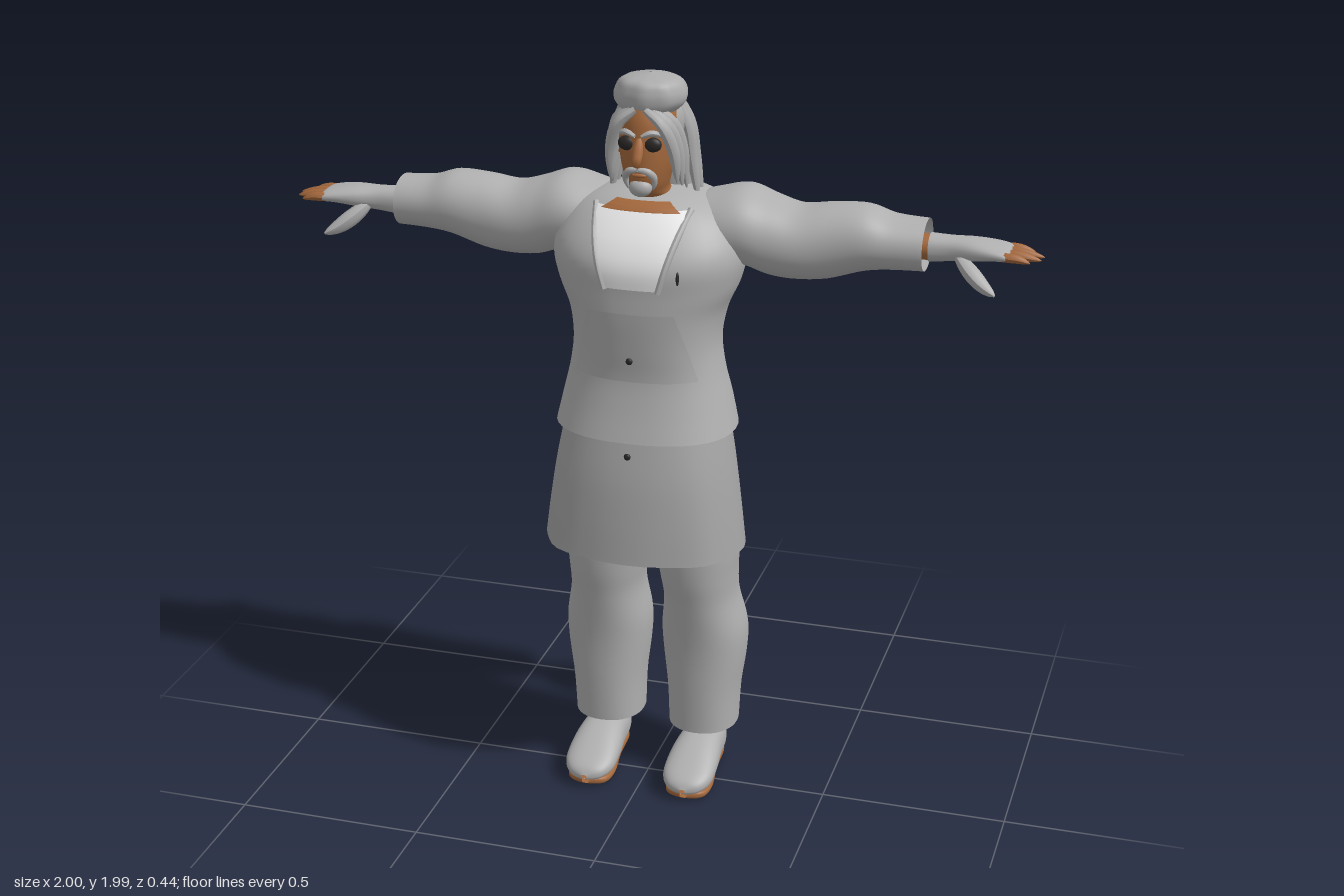
import * as THREE from 'three';

const mat = (name, color) => Object.assign(
  new THREE.MeshStandardMaterial({ color, side: THREE.DoubleSide }), { name });
const { sin, cos, abs, sign, PI, pow } = Math;

// Catmull-Rom blend of the rows of a section list, u from 0 to 1
function rowAt(rows, u) {
  const f = u * (rows.length - 1), i = Math.min(Math.floor(f), rows.length - 2), t = f - i;
  const r = k => rows[Math.max(0, Math.min(rows.length - 1, k))];
  return rows[0].map((_, c) => {
    const [a, b, d, e] = [r(i - 1)[c], r(i)[c], r(i + 1)[c], r(i + 2)[c]];
    return b + 0.5 * t * (d - a + t * (2 * a - 5 * b + 4 * d - e + t * (3 * (b - d) + e - a)));
  });
}

// Indexed grid of points; wraps around when closed
function grid(rows, cols, point, closed) {
  const pos = [], idx = [], w = closed ? cols : cols + 1;
  for (let i = 0; i <= rows; i++)
    for (let j = 0; j < w; j++) pos.push(...point(i / rows, j / cols));
  for (let i = 0; i < rows; i++)
    for (let j = 0; j < cols; j++) {
      const a = i * w + j, b = i * w + (j + 1) % w, c = b + w, d = a + w;
      idx.push(a, b, c, a, c, d);
    }
  const g = new THREE.BufferGeometry();
  g.setAttribute('position', new THREE.Float32BufferAttribute(pos, 3));
  g.setIndex(idx);
  g.computeVertexNormals();
  return g;
}

// Smooth body through rounded sections [position, centre, centre, radius, radius] along an axis
function loft(axis, rows, n = 2, wave = () => 1) {
  const se = v => sign(v) * pow(abs(v), 2 / n);
  return grid((rows.length - 1) * 5, 40, (u, v) => {
    const [t, a, b, ra, rb] = rowAt(rows, u), th = v * 2 * PI, k = wave(th, u);
    const s = se(sin(th)) * k, c = se(cos(th)) * k;
    if (axis === 'y') return [a + ra * s, t, b + rb * c];
    if (axis === 'x') return [t, a + ra * c, b + rb * s];
    return [a + ra * c, b + rb * s, t];
  }, true);
}

// Tube along points whose thickness follows a rule
function taper(points, radius, rule = u => pow(sin(PI * (0.12 + 0.87 * u)), 0.6)) {
  const curve = new THREE.CatmullRomCurve3(points.map(p => new THREE.Vector3(...p)));
  const g = new THREE.TubeGeometry(curve, 14, radius, 8), p = g.attributes.position;
  const v = new THREE.Vector3();
  for (let i = 0; i < p.count; i++) {
    const u = Math.floor(i / 9) / 14, c = curve.getPointAt(u);
    v.fromBufferAttribute(p, i).sub(c).multiplyScalar(rule(u)).add(c);
    p.setXYZ(i, v.x, v.y, v.z);
  }
  g.computeVertexNormals();
  return g;
}

function mirrored(geo) {
  const g = geo.clone().scale(-1, 1, 1), ix = g.index;
  for (let i = 0; i < ix.count; i += 3) {
    const a = ix.getX(i);
    ix.setX(i, ix.getX(i + 1));
    ix.setX(i + 1, a);
  }
  return g;
}

const ball = (x, y, z, rx, ry, rz) =>
  new THREE.SphereGeometry(1, 24, 16).scale(rx, ry, rz).translate(x, y, z);

export function createModel() {
  const model = new THREE.Group();
  const cloth = mat('grey cloth', 0xb0b0b0), skirtCloth = mat('skirt grey', 0xa4a4a4);
  const hair = mat('grey hair', 0xacacac), skin = mat('brown skin', 0xa4683c);
  const white = mat('white shirt', 0xfafafa), dark = mat('dark grey', 0x2a2626);
  const add = (name, geo, m) => {
    const mesh = new THREE.Mesh(geo, m);
    mesh.name = name;
    model.add(mesh);
  };
  const pair = (name, geo, m) => {
    add(name + 'Left', geo, m);
    add(name + 'Right', mirrored(geo), m);
  };

  // Jacket and flared skirt
  const torso = [[1.06, 0, 0.005, 0.24, 0.185], [1.14, 0, 0, 0.222, 0.172], [1.22, 0, 0.002, 0.203, 0.158],
    [1.3, 0, 0, 0.193, 0.162], [1.38, 0, -0.01, 0.205, 0.175], [1.45, 0, -0.018, 0.235, 0.183],
    [1.52, 0, -0.02, 0.25, 0.185], [1.58, 0, -0.033, 0.24, 0.172], [1.64, 0, -0.055, 0.2, 0.145],
    [1.675, 0, -0.065, 0.12, 0.105], [1.69, 0, -0.065, 0.005, 0.005]];
  const N = 2.3;
  add('jacket', loft('y', torso, N), cloth);
  const skirt = [[0.73, 0, 0.024, 0.268, 0.196], [0.84, 0, 0.02, 0.255, 0.191],
    [0.96, 0, 0.012, 0.238, 0.184], [1.1, 0, 0, 0.212, 0.165]];
  add('skirt', loft('y', skirt, N, (th, u) => 1 + 0.014 * (1 - u) * cos(8 * th)), skirtCloth);

  // Panels that follow the jacket surface; side 1 is front, -1 is back
  const samples = Array.from({ length: 401 }, (_, i) => rowAt(torso, i / 400));
  const surfaceZ = (x, y, side) => {
    const [, , cz, rx, rz] = samples.find(r => r[0] >= y);
    return cz + side * rz * pow(Math.max(0, 1 - pow(abs(x) / rx, N)), 1 / N);
  };
  const panel = (y0, y1, w0, w1, off0, off1, side = 1, jag = 0) => grid(12, 24, (u, v) => {
    const x = side * (w0 + (w1 - w0) * u) * (2 * v - 1);
    const tooth = jag * (1 - u) * (Math.round(v * 24) % 2);
    const y = y0 + (y1 - y0) * u - tooth;
    return [x, y, surfaceZ(x, y, side) + side * (off0 + (off1 - off0) * u)];
  });
  add('shirtFront', panel(1.47, 1.655, 0.07, 0.122, 0.004, 0.005), white);
  add('neckSkin', panel(1.65, 1.672, 0.105, 0.07, 0.007, 0.008), skin);
  add('waistFlap', panel(1.22, 1.41, 0.165, 0.115, 0.002, 0.02), cloth);
  add('backTear', panel(1.165, 1.195, 0.1, 0.06, 0.004, 0.004, -1, 0.03), dark);
  pair('lapelEdge', taper([0, 0.33, 0.66, 1].map(u => {
    const x = 0.07 + 0.055 * u, y = 1.465 + 0.19 * u;
    return [x, y, surfaceZ(x, y, 1)];
  }), 0.009, () => 1), cloth);

  // Buttons and pocket slit
  add('upperButton', ball(0, 1.28, surfaceZ(0, 1.28, 1) + 0.012, 0.009, 0.009, 0.006), dark);
  add('lowerButton', ball(0, 1.025, 0.193, 0.009, 0.009, 0.006), dark);
  add('pocketSlit', ball(0.12, 1.505, surfaceZ(0.12, 1.505, 1), 0.004, 0.018, 0.006), dark);

  // Sleeves
  pair('sleeve', loft('x', [[0.05, 1.57, -0.085, 0.03, 0.04], [0.1, 1.572, -0.085, 0.085, 0.105],
    [0.17, 1.583, -0.085, 0.098, 0.128], [0.24, 1.592, -0.085, 0.102, 0.13], [0.31, 1.57, -0.085, 0.102, 0.12],
    [0.38, 1.558, -0.085, 0.096, 0.112], [0.46, 1.567, -0.085, 0.097, 0.102], [0.55, 1.583, -0.085, 0.085, 0.096],
    [0.62, 1.577, -0.088, 0.07, 0.088], [0.705, 1.575, -0.09, 0.066, 0.08]], 2.1), cloth);

  // Gloved hands with bare fingers
  pair('wrist', loft('x', [[0.64, 1.575, -0.075, 0.034, 0.037], [0.725, 1.575, -0.075, 0.033, 0.036]]), skin);
  pair('glove', loft('x', [[0.715, 1.575, -0.075, 0.036, 0.039], [0.77, 1.577, -0.075, 0.032, 0.038],
    [0.83, 1.58, -0.075, 0.028, 0.05], [0.88, 1.58, -0.077, 0.021, 0.058],
    [0.915, 1.577, -0.077, 0.015, 0.056], [0.92, 1.577, -0.077, 0.002, 0.04]], 2.3), cloth);
  pair('thumb', taper([[0.79, 1.565, -0.05], [0.83, 1.53, -0.025], [0.865, 1.505, -0.005], [0.895, 1.49, 0.012]], 0.022), cloth);
  [[-0.122, 0.975], [-0.092, 1], [-0.062, 0.996], [-0.032, 0.972]].forEach(([z, tip], i) =>
    pair('finger' + (i + 1), taper([[0.88, 1.578, z], [0.94, 1.576, z], [tip, 1.568, z]], 0.0125), skin));

  // Trousers, ankles and slippers
  pair('trouserLeg', loft('y', [[0.14, 0.135, -0.095, 0.095, 0.105], [0.25, 0.136, -0.095, 0.1, 0.112],
    [0.36, 0.137, -0.098, 0.113, 0.122], [0.44, 0.136, -0.092, 0.115, 0.126], [0.54, 0.132, -0.07, 0.1, 0.123],
    [0.62, 0.128, -0.055, 0.104, 0.125], [0.72, 0.124, -0.045, 0.114, 0.126], [0.9, 0.115, -0.03, 0.112, 0.125]], 2.2), cloth);
  pair('ankle', loft('y', [[0.07, 0.14, -0.1, 0.044, 0.05], [0.16, 0.14, -0.105, 0.038, 0.045],
    [0.26, 0.14, -0.105, 0.045, 0.052]]), skin);
  pair('slipper', loft('z', [[-0.172, 0.14, 0.06, 0.008, 0.008], [-0.16, 0.14, 0.065, 0.04, 0.036],
    [-0.11, 0.14, 0.073, 0.055, 0.052], [-0.04, 0.14, 0.077, 0.061, 0.058], [0.03, 0.14, 0.068, 0.069, 0.05],
    [0.1, 0.14, 0.052, 0.068, 0.033], [0.14, 0.14, 0.042, 0.045, 0.02], [0.155, 0.14, 0.036, 0.008, 0.006]], 2.4), cloth);
  pair('sole', loft('z', [[-0.165, 0.14, 0.014, 0.01, 0.006], [-0.15, 0.14, 0.014, 0.04, 0.013],
    [-0.04, 0.14, 0.014, 0.048, 0.014], [0.06, 0.14, 0.014, 0.062, 0.014],
    [0.12, 0.14, 0.015, 0.053, 0.014], [0.142, 0.14, 0.016, 0.01, 0.006]], 2.8), skin);

  // Head and face
  add('head', loft('y', [[1.6, 0, -0.05, 0.062, 0.062], [1.66, 0, -0.045, 0.06, 0.064], [1.69, 0, -0.015, 0.05, 0.075],
    [1.72, 0, 0, 0.056, 0.08], [1.77, 0, -0.005, 0.069, 0.093], [1.83, 0, -0.012, 0.076, 0.1],
    [1.89, 0, -0.02, 0.076, 0.1], [1.935, 0, -0.025, 0.055, 0.075], [1.95, 0, -0.025, 0.003, 0.003]]), skin);
  add('nose', taper([[0, 1.84, 0.083], [0, 1.805, 0.097], [0, 1.782, 0.107], [0, 1.77, 0.092]], 0.014), skin);
  add('mouth', ball(0, 1.745, 0.083, 0.02, 0.006, 0.008), skin);
  pair('ear', ball(0.077, 1.8, -0.015, 0.011, 0.028, 0.018), skin);
  pair('eye', ball(0.033, 1.825, 0.076, 0.024, 0.019, 0.014), dark);
  pair('eyebrow', taper([[0.008, 1.847, 0.092], [0.033, 1.856, 0.085], [0.062, 1.843, 0.062]], 0.008), hair);
  pair('moustache', taper([[0, 1.762, 0.096], [0.024, 1.757, 0.089], [0.038, 1.735, 0.074], [0.032, 1.705, 0.068]], 0.0095), hair);
  add('goatee', ball(0, 1.71, 0.07, 0.03, 0.024, 0.022), hair);

  // Hair cap, rolled top and knot
  add('hairCap', ball(0, 1.865, -0.045, 0.09, 0.09, 0.095), hair);
  add('hairTop', loft('y', [[1.895, 0, -0.005, 0.07, 0.07], [1.92, 0.003, -0.01, 0.092, 0.085],
    [1.95, 0.005, -0.01, 0.09, 0.086], [1.977, 0.005, -0.005, 0.068, 0.066], [1.99, 0.005, -0.005, 0.003, 0.003]],
  2, th => 1 + 0.02 * cos(9 * th)), hair);
  add('hairKnot', ball(0, 1.905, -0.115, 0.055, 0.05, 0.035), hair);

  // Long strands around the sides and back
  add('hairBack', loft('y', [[1.685, 0, -0.105, 0.1, 0.05], [1.78, 0, -0.09, 0.09, 0.058],
    [1.88, 0, -0.06, 0.08, 0.07]], 2.2), hair);
  for (let i = 0; i < 19; i++) {
    const a = -1.75 + 3.5 * i / 18, s = sin(a), c = cos(a);
    add('hairStrand' + (i + 1), taper([[0.065 * s, 1.915, -0.04 - 0.06 * c], [0.092 * s, 1.85, -0.055 - 0.08 * c],
      [0.102 * s, 1.77, -0.066 - 0.085 * c], [0.114 * s, 1.675 + 0.012 * (i % 2), -0.075 - 0.09 * c]], 0.0155,
    u => pow(sin(PI * (0.2 + 0.74 * u)), 0.4)), hair);
  }

  // Locks falling from the parting past the cheeks
  [0, 1, 2].forEach(k => pair('frontLock' + (k + 1), taper([[0.012 + 0.012 * k, 1.91, 0.07 - 0.012 * k],
    [0.056 + 0.008 * k, 1.875, 0.075 - 0.022 * k], [0.081 + 0.004 * k, 1.81, 0.058 - 0.025 * k],
    [0.088 + 0.005 * k, 1.72 - 0.012 * k, 0.04 - 0.026 * k]], 0.0165), hair));
  return model;
}
